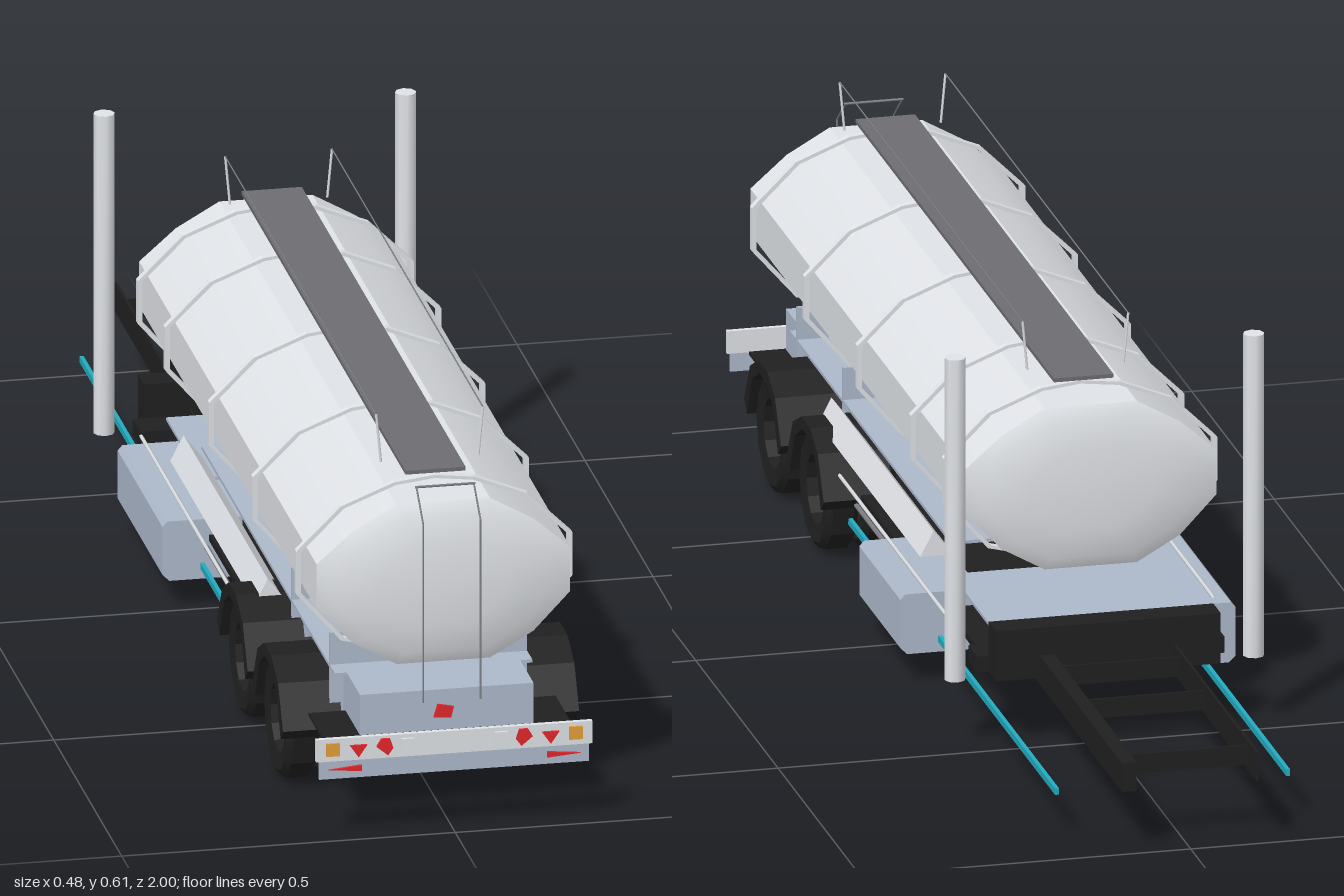
import * as THREE from 'three';
import { toCreasedNormals } from 'three/addons/utils/BufferGeometryUtils.js';

const mat = (name, color) => {
  const m = new THREE.MeshStandardMaterial({ color, side: THREE.DoubleSide });
  m.name = name;
  return m;
};

export function createModel() {
  const root = new THREE.Group();
  const metal = mat('light metal', 0xe4e7eb);
  const steel = mat('blue grey steel', 0xadb9cb);
  const black = mat('black', 0x202020);
  const tread = mat('walkway grey', 0x6e6e72);
  const dark = mat('dark grey', 0x808387);
  const teal = mat('teal', 0x22adc0);
  const red = mat('red', 0xe4282c);
  const amber = mat('amber', 0xe4a03a);

  const add = (name, geo, m, x = 0, y = 0, z = 0) => {
    const mesh = new THREE.Mesh(geo, m);
    mesh.name = name;
    mesh.position.set(x, y, z);
    root.add(mesh);
    return mesh;
  };
  // Box given by its limits
  const box = (name, m, x0, x1, y0, y1, z0, z1) =>
    add(name, new THREE.BoxGeometry(x1 - x0, y1 - y0, z1 - z0), m, (x0 + x1) / 2, (y0 + y1) / 2, (z0 + z1) / 2);
  const rod = (name, m, r, a, b) =>
    add(name, new THREE.TubeGeometry(new THREE.LineCurve3(new THREE.Vector3(...a), new THREE.Vector3(...b)), 1, r, 5), m);
  const shapeOf = pts => new THREE.Shape(pts.map(p => new THREE.Vector2(...p)));
  const extrude = (shape, depth) => new THREE.ExtrudeGeometry(shape, { depth, bevelEnabled: false });
  const mirrored = half => [...half, ...[...half].reverse().map(([x, y]) => [-x, y])];

  // Tank: faceted oval body with shallow domed ends
  const oval = mirrored([[0.07, -0.125], [0.135, -0.088], [0.19, -0.03], [0.19, 0.04], [0.135, 0.088], [0.07, 0.125]]);
  const sections = [[-0.413, 0.001], [-0.41, 0.5], [-0.403, 0.85], [-0.393, 1], [0.912, 1], [0.922, 0.85], [0.93, 0.5], [0.934, 0.001]];
  const pos = [], idx = [], n = oval.length;
  sections.forEach(([z, s]) => oval.forEach(([x, y]) => pos.push(x * s, y * s, z)));
  for (let i = 0; i < sections.length - 1; i++) {
    for (let j = 0; j < n; j++) {
      const a = i * n + j, b = i * n + (j + 1) % n;
      idx.push(a, b, b + n, a, b + n, a + n);
    }
  }
  const tankGeo = new THREE.BufferGeometry();
  tankGeo.setAttribute('position', new THREE.Float32BufferAttribute(pos, 3));
  tankGeo.setIndex(idx);
  add('tank', toCreasedNormals(tankGeo, 0.45), metal, 0, 0.365, 0);

  // Bands around the tank
  const bandOuter = mirrored([[0.001, -0.141], [0.14, -0.107], [0.207, -0.03], [0.207, 0.037], [0.14, 0.103], [0.06, 0.135], [0.001, 0.142]]);
  const bandShape = shapeOf(bandOuter);
  bandShape.holes.push(new THREE.Path(bandOuter.map(([x, y]) => new THREE.Vector2(x * 0.965, y * 0.965))));
  for (const z of [0.84, 0.52, 0.2, -0.125, -0.325]) add('tankBand', extrude(bandShape, 0.012), metal, 0, 0.365, z - 0.006);

  // Walkway, handrails and rear ladder
  box('walkway', tread, -0.045, 0.045, 0.514, 0.52, -0.35, 0.855);
  for (const s of [-1, 1]) {
    rod('handrail', dark, 0.0011, [s * 0.08, 0.595, -0.3], [s * 0.08, 0.595, 0.81]);
    for (const z of [-0.3, 0.81]) {
      rod('handrailPost', metal, 0.002, [s * 0.073, 0.52, z], [s * 0.08, 0.595, z]);
    }
    rod('ladderPost', dark, 0.0014, [s * 0.043, 0.2, 0.975], [s * 0.043, 0.48, 0.975]);
    rod('ladderTop', dark, 0.0014, [s * 0.043, 0.48, 0.975], [s * 0.043, 0.52, 0.925]);
  }
  rod('ladderBar', dark, 0.002, [-0.045, 0.52, 0.925], [0.045, 0.52, 0.925]);

  // Chassis rails and cross members
  box('rightRail', black, -0.103, -0.099, 0.1, 0.145, -1, -0.1);
  box('leftRail', black, 0.082, 0.104, 0.1, 0.145, -1, -0.1);
  for (const z of [-0.945, -0.69, -0.535]) box('crossMember', black, -0.1, 0.09, 0.108, 0.138, z - 0.002, z + 0.002);

  // Deck, narrow between the wheels
  box('frontStep', black, -0.17, 0.17, 0.11, 0.188, -0.5, -0.455);
  box('frontDeck', black, -0.187, 0.187, 0.11, 0.135, -0.455, -0.4);
  box('middleDeck', black, -0.165, 0.165, 0.108, 0.118, -0.4, 0.34);
  box('rearDeck', black, -0.1, 0.1, 0.1, 0.112, 0.34, 0.86);
  box('tailDeck', black, -0.185, 0.185, 0.137, 0.142, 0.83, 0.94);

  // Tank supports and rear cabinet
  box('supportPlate', steel, -0.148, 0.148, 0.2, 0.205, -0.14, 0.84);
  box('frontPlate', steel, -0.148, 0.148, 0.15, 0.155, -0.4, -0.14);
  for (const z of [0.52, 0.8]) box('saddle', steel, -0.148, 0.148, 0.118, 0.255, z - 0.003, z + 0.003);
  box('rearCabinet', steel, -0.13, 0.13, 0.14, 0.205, 0.815, 0.937);

  // Wheels and fenders
  const tyreProfile = [[0.053, -0.021], [0.08, -0.025], [0.091, -0.016], [0.091, 0.016], [0.08, 0.025], [0.053, 0.021], [0.053, -0.021]];
  const tyreGeo = toCreasedNormals(new THREE.LatheGeometry(tyreProfile.map(p => new THREE.Vector2(...p)), 12), 0.5);
  tyreGeo.rotateZ(Math.PI / 2);
  const arch = [[-0.112, 0.112], [-0.076, 0.175], [-0.025, 0.2], [0.03, 0.2], [0.076, 0.175], [0.112, 0.112]];
  const fenderShape = shapeOf([...arch, ...[...arch].reverse().map(([x, y]) => [x * 0.84, y - 0.018])]);
  for (const z of [0.45, 0.71]) {
    for (const s of [-1, 1]) {
      for (const x of [0.186, 0.128]) add('tyre', tyreGeo, black, s * x, 0.094, z);
      const fender = add('fender', extrude(fenderShape, 0.09), black, s > 0 ? 0.132 : -0.222, 0, z);
      fender.rotation.y = Math.PI / 2;
    }
    rod('axle', dark, 0.008, [-0.2, 0.094, z], [0.2, 0.094, z]);
  }

  // Exhaust stacks, side trays, pipes and marker strips
  const stackGeo = toCreasedNormals(new THREE.CylinderGeometry(0.016, 0.016, 0.5, 8), 0.9);
  const trayShape = shapeOf([[0.145, 0.185], [0.195, 0.185], [0.175, 0.224]]);
  for (const s of [-1, 1]) {
    add('exhaustStack', stackGeo, metal, s * 0.226, 0.36, -0.475);
    add('sideTray', extrude(trayShape, 0.62), metal, 0, 0, s > 0 ? -0.14 : 0.48).rotation.y = s > 0 ? 0 : Math.PI;
    rod('sidePipe', metal, 0.003, [s * 0.2, 0.155, -0.33], [s * 0.2, 0.155, 0.33]);
    for (const x of [0.06, 0.17]) rod('lowerPipe', dark, 0.004, [s * x, 0.1, -0.1], [s * x, 0.1, 0.5]);
    box('markerStrip', teal, s * 0.175 - 0.003, s * 0.175 + 0.003, 0.065, 0.075, -0.89, 0.75);
  }

  // Side lockers with chamfered outer edges
  const lockerShape = shapeOf([[0.115, 0.05], [0.225, 0.05], [0.235, 0.06], [0.235, 0.135], [0.228, 0.143], [0.115, 0.143]]);
  add('leftLocker', extrude(lockerShape, 0.25), steel, 0, 0, -0.18);
  add('rightLocker', extrude(lockerShape, 0.33), steel, 0, 0, 0).rotation.y = Math.PI;

  // Rear bumper
  box('bumper', metal, -0.207, 0.207, 0.125, 0.16, 0.985, 0.993);
  box('lowerBumper', steel, -0.202, 0.202, 0.097, 0.125, 0.985, 0.991);

  // Rear lamps
  const lamp = (name, m, pts, x, y, z = 0.993) => add(name, extrude(shapeOf(pts), 0.004), m, x, y, z);
  const square = [[-0.01, -0.01], [0.01, -0.01], [0.01, 0.01], [-0.01, 0.01]];
  for (const s of [-1, 1]) {
    lamp('turnLamp', amber, square, s * 0.182, 0.144);
    lamp('reverseLamp', metal, square, s * 0.07, 0.144);
    lamp('triangleReflector', red, [[0, -0.012], [0.013, 0.007], [-0.013, 0.007]], s * 0.144, 0.142);
    lamp('brakeLamp', red, [[-0.013, 0], [0.004, -0.014], [0.012, -0.003], [0.007, 0.012], [-0.006, 0.012]].map(([x, y]) => [-s * x, y]), s * 0.104, 0.144);
    lamp('lowerReflector', red, [[-0.025, -0.004], [0.025, 0], [-0.025, 0.005]].map(([x, y]) => [s * x, y]), s * 0.164, 0.112, 0.991);
  }
  lamp('centreLamp', red, [[-0.016, -0.009], [0.01, -0.011], [0.014, 0.006], [-0.01, 0.011]], -0.004, 0.172, 0.937);

  return root;
}
